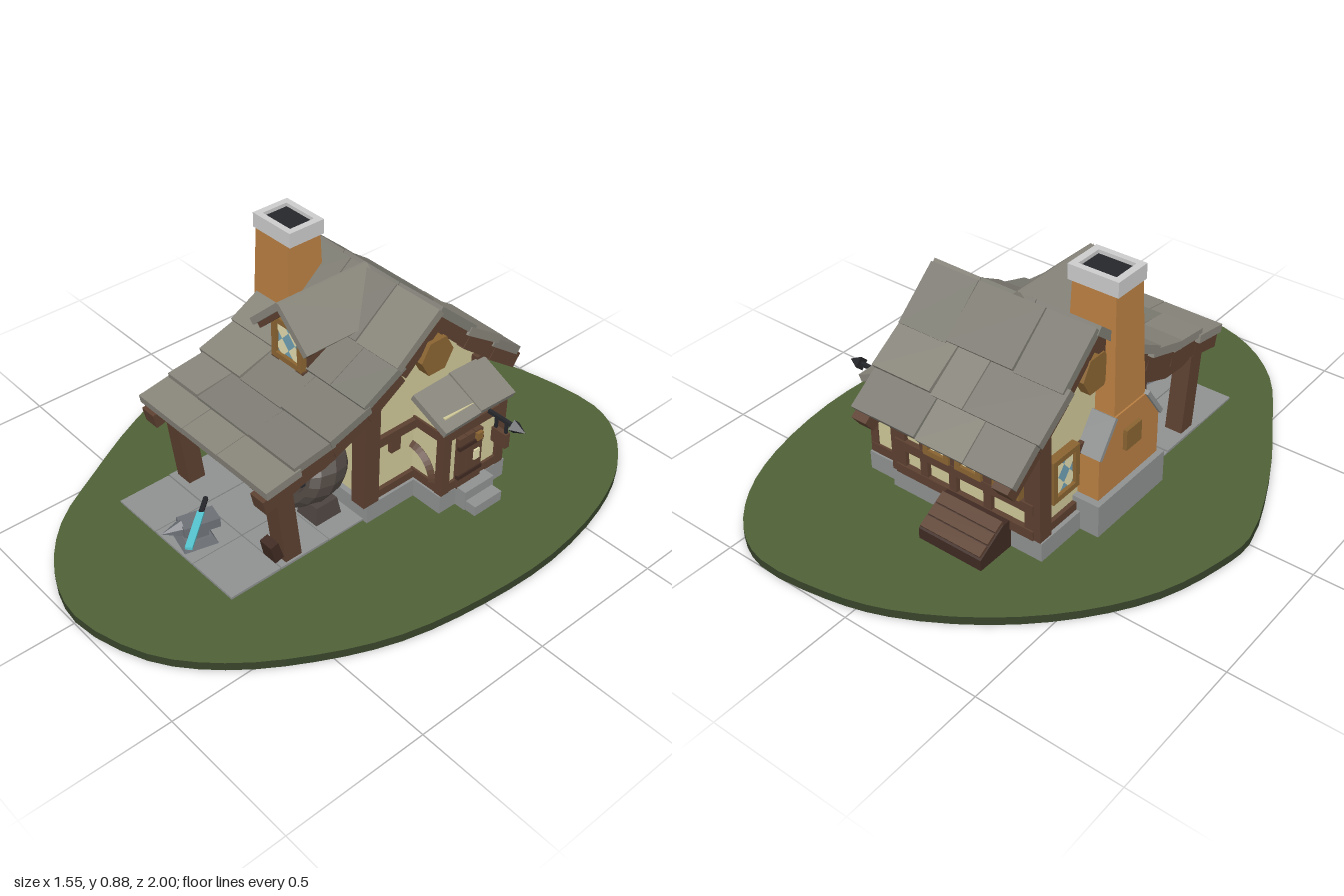
import * as THREE from 'three';

const mat = (color) => new THREE.MeshStandardMaterial({ color, flatShading: true, side: THREE.DoubleSide });
const C = {
  grass: mat(0x4f6036), edge: mat(0x37432a), tile: mat(0x87847a), tile2: mat(0x7d7b72), wood: mat(0x5c4030),
  dark: mat(0x3f2a22), wall: mat(0xcfc798), stone: mat(0x8f9191), brick: mat(0xb97f42), cap: mat(0xd0ced0),
  black: mat(0x26272b), iron: mat(0x6c7076), forge: mat(0x4c443f), gold: mat(0x8a6432),
  blue: mat(0x6fa0b4), cream: mat(0xe2dcae), cyan: mat(0x55c4cf),
};
let seed = 7;
const rnd = () => ((seed = (seed * 16807) % 2147483647) / 2147483647) - 0.5;

export function createModel() {
  const root = new THREE.Group();
  const add = (name, geo, m, parent = root) => {
    const mesh = new THREE.Mesh(geo, m);
    mesh.name = name;
    parent.add(mesh);
    return mesh;
  };
  // box from its minimum and maximum corners, with optional narrowing of the top
  const box = (name, m, x0, x1, y0, y1, z0, z1, top = 1, parent = root) => {
    const g = new THREE.BoxGeometry(x1 - x0, y1 - y0, z1 - z0);
    const p = g.attributes.position;
    for (let i = 0; i < p.count; i++) if (p.getY(i) > 0) p.setXYZ(i, p.getX(i) * top, p.getY(i), p.getZ(i) * top);
    g.computeVertexNormals();
    const b = add(name, g, m, parent);
    b.position.set((x0 + x1) / 2, (y0 + y1) / 2, (z0 + z1) / 2);
    return b;
  };
  // (z, y) outline extruded between two x positions
  const extrudeX = (name, m, pts, x0, x1) => {
    const s = new THREE.Shape(pts.map((p) => new THREE.Vector2(...p)));
    const g = new THREE.ExtrudeGeometry(s, { depth: x1 - x0, bevelEnabled: false });
    return add(name, g.rotateY(-Math.PI / 2).translate(x1, 0, 0), m);
  };
  // plank in the zy plane running from a to b
  const plank = (name, m, a, b, x, w, t) => {
    const dz = b[0] - a[0], dy = b[1] - a[1];
    const k = add(name, new THREE.BoxGeometry(w, t, Math.hypot(dz, dy)), m);
    k.position.set(x, (a[1] + b[1]) / 2, (a[0] + b[0]) / 2);
    k.rotation.x = -Math.atan2(dy, dz);
    return k;
  };
  // framed diamond-pane window facing +z
  const window_ = (name, w, h, x, y, z, turn) => {
    const g = new THREE.Group();
    g.name = name;
    box('pane', C.blue, -w / 2, w / 2, -h / 2, h / 2, -0.01, 0.005, 1, g);
    for (let i = 0; i < 2; i++) for (let j = 0; j < 2; j++) {
      const d = add('diamondPane', new THREE.CircleGeometry(0.5, 4), C.cream, g);
      d.scale.set(w / 2, h / 2, 1);
      d.position.set((i - 0.5) * w / 2, (j - 0.5) * h / 2, 0.007);
    }
    for (const s of [-1, 1]) {
      box('frameSide', C.gold, s * w / 2 - 0.01, s * w / 2 + 0.01, -h / 2 - 0.01, h / 2 + 0.01, -0.015, 0.018, 1, g);
      box('frameRail', C.gold, -w / 2, w / 2, s * h / 2 - 0.01, s * h / 2 + 0.01, -0.015, 0.018, 1, g);
    }
    g.position.set(x, y, z);
    g.rotation.y = turn;
    root.add(g);
  };

  // ground
  const outline = [[0.1, -0.98], [0.36, -1], [0.5, -0.94], [0.63, -0.8], [0.72, -0.6], [0.775, -0.3], [0.765, 0], [0.71, 0.3],
    [0.6, 0.55], [0.45, 0.77], [0.27, 0.92], [0, 0.995], [-0.2, 0.94], [-0.38, 0.8], [-0.52, 0.58], [-0.67, 0.3],
    [-0.775, 0], [-0.76, -0.15], [-0.69, -0.37], [-0.55, -0.58], [-0.35, -0.77], [-0.1, -0.92]];
  const loop = new THREE.CatmullRomCurve3(outline.map(([x, z]) => new THREE.Vector3(x, z, 0)), true);
  const gs = new THREE.Shape(loop.getPoints(66).slice(0, -1).map((p) => new THREE.Vector2(p.x, p.y)));
  add('ground', new THREE.ExtrudeGeometry(gs, { depth: 0.03, bevelEnabled: false }).rotateX(Math.PI / 2).translate(0, 0.03, 0), [C.grass, C.edge]);

  // paved floor
  for (let i = 0; i < 3; i++) for (let j = 0; j < 3; j++)
    box('paving', C.stone, -0.335 + i * 0.2, -0.139 + i * 0.2, 0.025, 0.038 + rnd() * 0.004, j * 0.2, j * 0.2 + 0.196);

  // house body
  box('foundation', C.stone, -0.33, 0.28, 0.02, 0.1, -0.485, 0.05);
  extrudeX('houseWalls', C.wall, [[0.03, 0.1], [0.03, 0.5], [-0.23, 0.7], [-0.47, 0.47], [-0.47, 0.1]], -0.3, 0.255);
  for (const x of [-0.295, 0.25]) {
    box('cornerPost', C.wood, x - 0.03, x + 0.03, 0.1, 0.52, 0, 0.065);
    box('cornerPost', C.wood, x - 0.03, x + 0.03, 0.1, 0.47, -0.485, -0.43);
    box('sideRail', C.wood, x - 0.022, x + 0.022, 0.31, 0.345, -0.47, 0.05);
    box('sideSill', C.wood, x - 0.02, x + 0.02, 0.1, 0.13, -0.47, 0.05);
    box('railPeg', C.wood, x - 0.022, x + 0.022, 0.26, 0.31, -0.1, -0.06);
  }
  box('frontRail', C.wood, -0.3, 0.26, 0.33, 0.37, 0.02, 0.05);
  for (const y of [0.1, 0.2, 0.38]) box('backRail', C.wood, -0.3, 0.26, y, y + 0.035, -0.49, -0.46);
  for (const x of [-0.12, 0.02, 0.14]) box('backStud', C.wood, x - 0.015, x + 0.015, 0.12, 0.4, -0.487, -0.46);
  for (const x of [-0.2, -0.05, 0.08]) window_('backWindow', 0.085, 0.12, x, 0.305, -0.478, Math.PI);
  window_('sideWindow', 0.11, 0.14, -0.312, 0.29, -0.36, -Math.PI / 2);

  // main roof: rows of uneven slabs along a concave slope
  const front = [[-0.23, 0.745], [-0.08, 0.61], [0.06, 0.515], [0.2, 0.455], [0.34, 0.42], [0.475, 0.385]];
  const back = [[-0.23, 0.745], [-0.37, 0.61], [-0.5, 0.505], [-0.625, 0.41]];
  for (const path of [front, back]) for (let r = 0; r < path.length - 1; r++) {
    const [a, b] = [path[r], path[r + 1]];
    const cuts = [-0.35 + rnd() * 0.02, -0.13 + rnd() * 0.12, 0.09 + rnd() * 0.12, 0.295 + rnd() * 0.01];
    const ext = 0.16;
    for (let i = 0; i < 3; i++) {
      const lift = rnd() * 0.012;
      const end = [b[0] + (b[0] - a[0]) * (r < path.length - 2 ? ext : 0), b[1] + (b[1] - a[1]) * ext + 0.018 + lift];
      const k = plank('roofSlab', rnd() > 0 ? C.tile : C.tile2, a, end, (cuts[i] + cuts[i + 1]) / 2, cuts[i + 1] - cuts[i] - 0.003, 0.03);
      k.rotation.z = rnd() * 0.04;
    }
    // rafters on both gables
    for (const x of [-0.3, 0.255])
      plank('rafter', C.wood, [a[0], a[1] - 0.045], [b[0], b[1] - 0.04], x, 0.06, 0.055);
  }
  // gable ornaments
  for (const x of [-0.31, 0.275]) {
    const h = add('gableOrnament', new THREE.CylinderGeometry(0.07, 0.07, 0.05, 6), C.gold);
    h.rotation.z = Math.PI / 2;
    h.position.set(x, 0.585, -0.22);
  }

  // porch frame
  for (const x of [-0.285, 0.22]) {
    const p = box('porchPost', C.wood, x - 0.033, x + 0.033, 0.03, 0.36, 0.325, 0.39);
    p.rotation.x = 0.12;
    extrudeX('curvedBrace', C.wood, [[0.46, 0.365], [0.4, 0.34], [0.3, 0.318], [0.2, 0.325], [0.05, 0.385], [0.05, 0.46], [0.2, 0.42], [0.46, 0.38]], x - 0.025, x + 0.025);
  }
  box('porchBeam', C.wood, -0.33, 0.27, 0.345, 0.385, 0.37, 0.42);
  const quiver = box('toolHolder', C.dark, 0.19, 0.25, 0.06, 0.13, 0.385, 0.42, 0.9);
  quiver.rotation.x = 0.25;

  // dormer
  box('dormerWalls', C.wood, -0.125, 0.03, 0.47, 0.66, -0.16, 0.085);
  const tri = new THREE.Shape([new THREE.Vector2(-0.15, 0.65), new THREE.Vector2(0.055, 0.65), new THREE.Vector2(-0.048, 0.745)]);
  add('dormerGable', new THREE.ExtrudeGeometry(tri, { depth: 0.25, bevelEnabled: false }).translate(0, 0, -0.155), C.gold);
  window_('dormerWindow', 0.125, 0.135, -0.048, 0.6, 0.09, 0);
  for (const s of [-1, 1]) {
    box('dormerCorbel', C.wood, -0.048 + s * 0.06 - 0.018, -0.048 + s * 0.06 + 0.018, 0.465, 0.525, 0.05, 0.105);
    const ang = Math.atan2(0.125, 0.135);
    const roof = add('dormerRoof', new THREE.BoxGeometry(0.185, 0.024, 0.37), C.tile);
    roof.position.set(-0.048 + s * 0.064, 0.695, -0.045);
    roof.rotation.z = -s * ang;
    const trim = add('dormerBarge', new THREE.BoxGeometry(0.165, 0.026, 0.02), C.wood);
    trim.position.set(-0.048 + s * 0.06, 0.675, 0.112);
    trim.rotation.z = -s * ang;
  }

  // chimney
  box('chimneyBase', C.stone, -0.4, -0.2, 0.02, 0.15, -0.29, 0.07);
  extrudeX('chimneyBreast', C.brick, [[-0.265, 0.15], [0.055, 0.15], [0.055, 0.31], [-0.02, 0.42], [-0.19, 0.42], [-0.265, 0.31]], -0.38, -0.21);
  box('chimneyStack', C.brick, -0.375, -0.185, 0.4, 0.84, -0.182, -0.018, 0.84);
  box('chimneyPlaque', C.gold, -0.395, -0.37, 0.275, 0.35, -0.14, -0.06);
  for (const s of [-1, 1]) {
    plank('chimneyShoulder', C.stone, [-0.105 + s * 0.165, 0.31], [-0.105 + s * 0.085, 0.425], -0.295, 0.19, 0.015);
    box('chimneyCapSide', C.cap, -0.277 + s * 0.08 - 0.012, -0.277 + s * 0.08 + 0.012, 0.832, 0.885, -0.172, -0.028);
    box('chimneyCapEnd', C.cap, -0.357, -0.197, 0.832, 0.885, -0.1 + s * 0.061 - 0.011, -0.1 + s * 0.061 + 0.011);
  }
  box('chimneyFlue', C.black, -0.355, -0.2, 0.835, 0.872, -0.16, -0.04);

  // forge: flattened bowl leaning back, with a wide mouth
  const prof = [[0.8, -0.02], [0.97, 0.03], [1, 0.08], [0.93, 0.13], [0.82, 0.155], [0.74, 0.155], [0.69, 0.13]];
  const forgePart = (name, pts, m) => {
    const g = new THREE.LatheGeometry(pts.map((p) => new THREE.Vector2(...p)), 24).rotateX(Math.PI / 2);
    const p = g.attributes.position;
    for (let i = 0; i < p.count; i++) {
      const x = p.getX(i), y = p.getY(i), r = Math.hypot(x, y);
      const ny = Math.max(0.03, 0.175 + y * (r < 0.78 ? 0.105 : 0.148));
      p.setXYZ(i, -0.03 + x * 0.222, ny, p.getZ(i) + 0.055 - (ny - 0.12) * 0.4);
    }
    g.computeVertexNormals();
    add(name, g, m);
  };
  forgePart('forgeShell', prof, C.forge);
  forgePart('forgeHollow', [[0.69, 0.13], [0.62, 0.06], [0.001, 0.05]], C.black);
  for (const x of [-0.2, 0.14]) box('forgeFoot', C.forge, x - 0.05, x + 0.05, 0.03, 0.1, 0.08, 0.19, 0.8);

  // entrance annex
  box('annexBase', C.stone, 0.25, 0.402, 0.02, 0.1, -0.465, -0.16);
  box('annexWalls', C.wall, 0.25, 0.39, 0.1, 0.41, -0.45, -0.175);
  for (const y of [0.1, 0.315]) box('annexRail', C.wood, 0.25, 0.4, y, y + 0.035, -0.458, -0.167);
  for (const z of [-0.455, -0.2]) box('annexPost', C.wood, 0.37, 0.402, 0.1, 0.38, z, z + 0.035);
  const arch = add('annexBrace', new THREE.TorusGeometry(0.095, 0.017, 4, 10, Math.PI / 2), C.wood);
  arch.position.set(0.255, 0.135, -0.172);
  for (let i = 0; i < 2; i++) {
    const a = add('annexRoofSlab', new THREE.BoxGeometry(0.165, 0.025, 0.16), C.tile);
    a.position.set(0.345, 0.413 + i * 0.006, -0.225 - i * 0.16);
    a.rotation.set(0.03 * (1 - 2 * i), 0, -0.42);
  }
  for (let i = 0; i < 3; i++) box('doorPlank', C.wood, 0.39, 0.408, 0.1, 0.305, -0.34 + i * 0.037, -0.306 + i * 0.037);
  for (const y of [0.14, 0.26]) box('doorStrap', C.dark, 0.4, 0.413, y, y + 0.015, -0.34, -0.23);
  box('doorNotice', C.cream, 0.405, 0.414, 0.19, 0.23, -0.325, -0.3);
  box('doorLamp', C.gold, 0.4, 0.42, 0.27, 0.3, -0.33, -0.305);
  box('upperStep', C.stone, 0.4, 0.445, 0.02, 0.105, -0.37, -0.235);
  box('lowerStep', C.stone, 0.44, 0.488, 0.02, 0.068, -0.365, -0.24);

  // hanging sign on an arrow bracket
  box('signRod', C.black, 0.4, 0.52, 0.345, 0.357, -0.376, -0.364);
  const tip = add('signArrow', new THREE.ConeGeometry(0.027, 0.05, 4), C.black);
  tip.rotation.z = -Math.PI / 2;
  tip.position.set(0.533, 0.351, -0.37);
  for (const x of [0.435, 0.478]) box('signChain', C.black, x - 0.005, x + 0.005, 0.295, 0.35, -0.374, -0.366);
  box('signBoard', C.wood, 0.425, 0.488, 0.25, 0.305, -0.38, -0.36);

  // cellar hatch
  extrudeX('cellarHatch', C.dark, [[-0.48, 0.03], [-0.48, 0.135], [-0.52, 0.135], [-0.63, 0.07], [-0.63, 0.03]], -0.21, 0.04);
  for (let i = 0; i < 3; i++) plank('hatchPlank', C.wood, [-0.515 - i * 0.038, 0.142 - i * 0.0225], [-0.549 - i * 0.038, 0.122 - i * 0.0225], -0.085, 0.24, 0.014);

  // anvil, blade and hammer
  const anvil = new THREE.Group();
  anvil.name = 'anvil';
  box('anvilFoot', C.iron, -0.05, 0.05, 0, 0.03, -0.06, 0.06, 0.75, anvil);
  box('anvilWaist', C.iron, -0.028, 0.028, 0.025, 0.06, -0.035, 0.035, 1, anvil);
  box('anvilFace', C.iron, -0.034, 0.034, 0.055, 0.09, -0.075, 0.05, 1, anvil);
  const horn = add('anvilHorn', new THREE.ConeGeometry(0.03, 0.07, 6), C.iron, anvil);
  horn.rotation.x = Math.PI / 2;
  horn.position.set(0, 0.07, 0.08);
  anvil.position.set(-0.02, 0.036, 0.52);
  anvil.rotation.y = -0.25;
  root.add(anvil);
  const blade = add('blade', new THREE.BoxGeometry(0.024, 0.01, 0.17), C.cyan);
  blade.position.set(0.028, 0.132, 0.555);
  blade.rotation.y = 0.7;
  const grip = add('bladeGrip', new THREE.CylinderGeometry(0.009, 0.009, 0.07, 6), C.black);
  grip.rotation.set(Math.PI / 2, 0, -0.7);
  grip.position.set(-0.045, 0.135, 0.465);
  return root;
}
